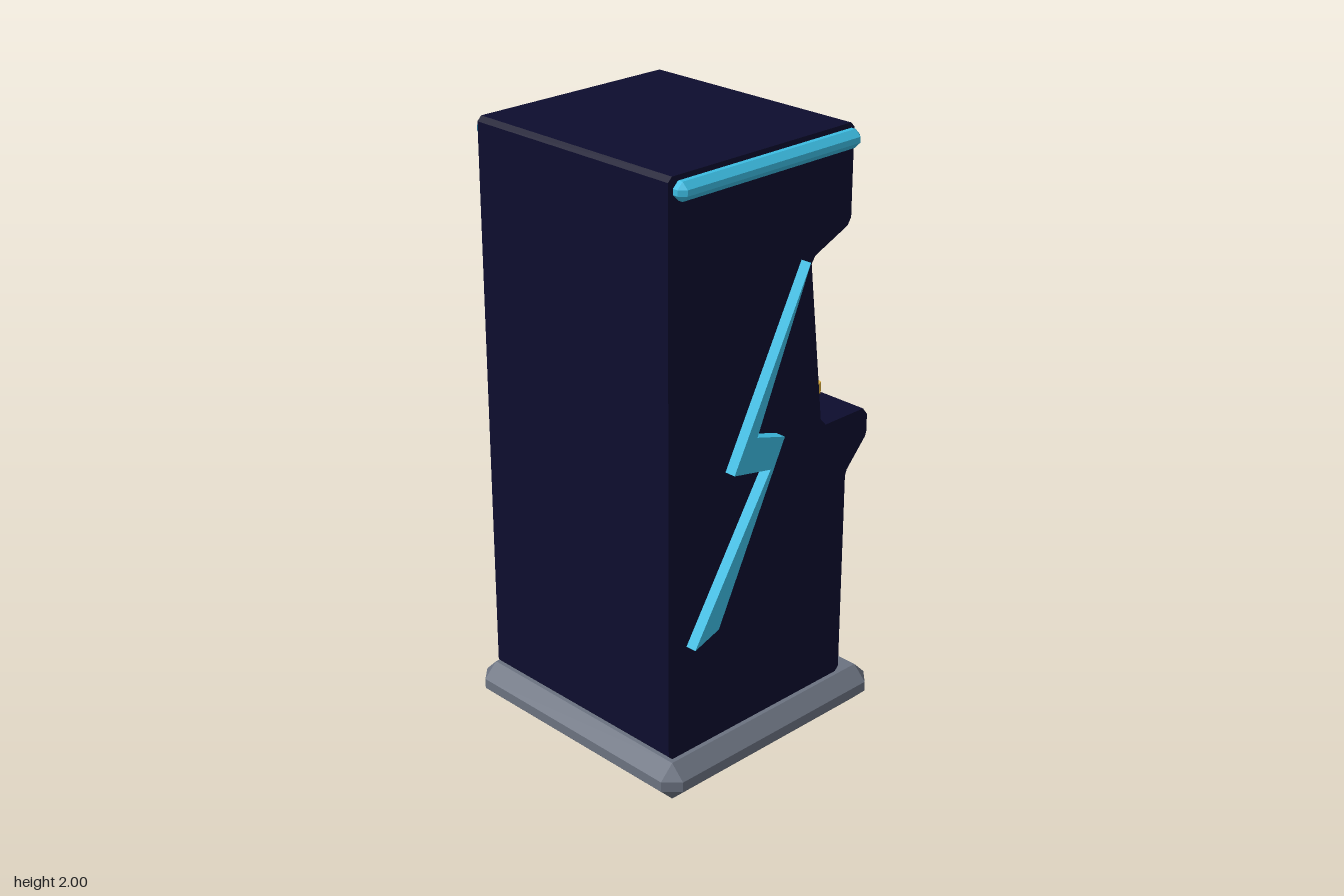
import * as THREE from 'three';
import { ConvexGeometry } from 'three/addons/geometries/ConvexGeometry.js';

const paint = (name, color) => Object.assign(new THREE.MeshStandardMaterial({ color }), { name });

// Box with every edge cut at 45 degrees by c
function chamferBox(w, h, d, c) {
  const pts = [];
  for (const sx of [-1, 1]) for (const sy of [-1, 1]) for (const sz of [-1, 1]) {
    const x = w / 2, y = h / 2, z = d / 2;
    pts.push(
      new THREE.Vector3(sx * x, sy * (y - c), sz * (z - c)),
      new THREE.Vector3(sx * (x - c), sy * y, sz * (z - c)),
      new THREE.Vector3(sx * (x - c), sy * (y - c), sz * z));
  }
  return new ConvexGeometry(pts);
}

// Side profile of [z, y] points, extruded along x and centred
function sideExtrude(points, width) {
  const shape = new THREE.Shape(points.map(([z, y]) => new THREE.Vector2(-z, y)));
  const geo = new THREE.ExtrudeGeometry(shape, { depth: width, bevelEnabled: false });
  return geo.translate(0, 0, -width / 2).rotateY(Math.PI / 2);
}

export function createModel() {
  const model = new THREE.Group();
  model.name = 'arcadeCabinet';

  const navy = paint('navy', 0x0d0d2e);
  const grey = paint('grey', 0x6b7280);
  const cyan = paint('cyan', 0x3cbce2);
  const gold = paint('gold', 0xdcad3c);
  const red = paint('red', 0xd94a45);
  const black = paint('black', 0x15151f);
  red.flatShading = gold.flatShading = true;

  const add = (name, geo, mat, x = 0, y = 0, z = 0) => {
    const mesh = new THREE.Mesh(geo, mat);
    mesh.name = name;
    mesh.position.set(x, y, z);
    model.add(mesh);
    return mesh;
  };

  // Plinth
  add('base', chamferBox(0.936, 0.13, 0.936, 0.048), grey, 0, 0.065, 0);

  // Cabinet body: the playing side faces -z
  add('cabinet', sideExtrude([
    [0.405, 0.13], [-0.34, 0.13], [-0.355, 0.145], [-0.355, 0.84], [-0.362, 0.86],
    [-0.445, 0.95], [-0.45, 0.965], [-0.45, 1.025], [-0.43, 1.05],
    [-0.255, 1.05], [-0.232, 1.075], [-0.17, 1.6], [-0.185, 1.622],
    [-0.325, 1.682], [-0.34, 1.705], [-0.34, 1.985], [-0.325, 2],
    [0.405, 2], [0.42, 1.985], [0.42, 0.145],
  ], 0.81), navy);

  // Panels on the playing side
  add('marquee', chamferBox(0.684, 0.235, 0.058, 0.022), gold, 0, 1.847, -0.37);
  add('coinDoor', chamferBox(0.285, 0.21, 0.06, 0.018), gold, 0, 0.505, -0.36);
  add('screen', chamferBox(0.62, 0.485, 0.05, 0.02), cyan, 0, 1.335, -0.225).rotation.x = 0.1;

  // Joystick
  add('joystickShaft', new THREE.CylinderGeometry(0.025, 0.025, 0.14, 8), black, -0.175, 1.11, -0.325);
  add('joystickBall', new THREE.SphereGeometry(0.078, 12, 10), red, -0.175, 1.225, -0.325);

  // Buttons, two by two
  for (const x of [0.077, 0.202]) for (const z of [-0.395, -0.27]) {
    add('button', new THREE.CylinderGeometry(0.041, 0.041, 0.045, 8), gold, x, 1.066, z);
  }

  // Top trims and lightning bolts on both sides
  const bolt = [
    [-0.125, 1.625], [0.09, 1.13], [-0.03, 1.095], [0.245, 0.54],
    [0.345, 0.505], [0.03, 1.005], [0.185, 1.035],
  ];
  for (const [side, s] of [['left', 1], ['right', -1]]) {
    add(side + 'TopTrim', chamferBox(0.056, 0.058, 0.746, 0.02), cyan, s * 0.418, 1.957, 0.032);
    add(side + 'Bolt', sideExtrude(bolt, 0.05), cyan, s * 0.418, 0, 0);
  }
  return model;
}
